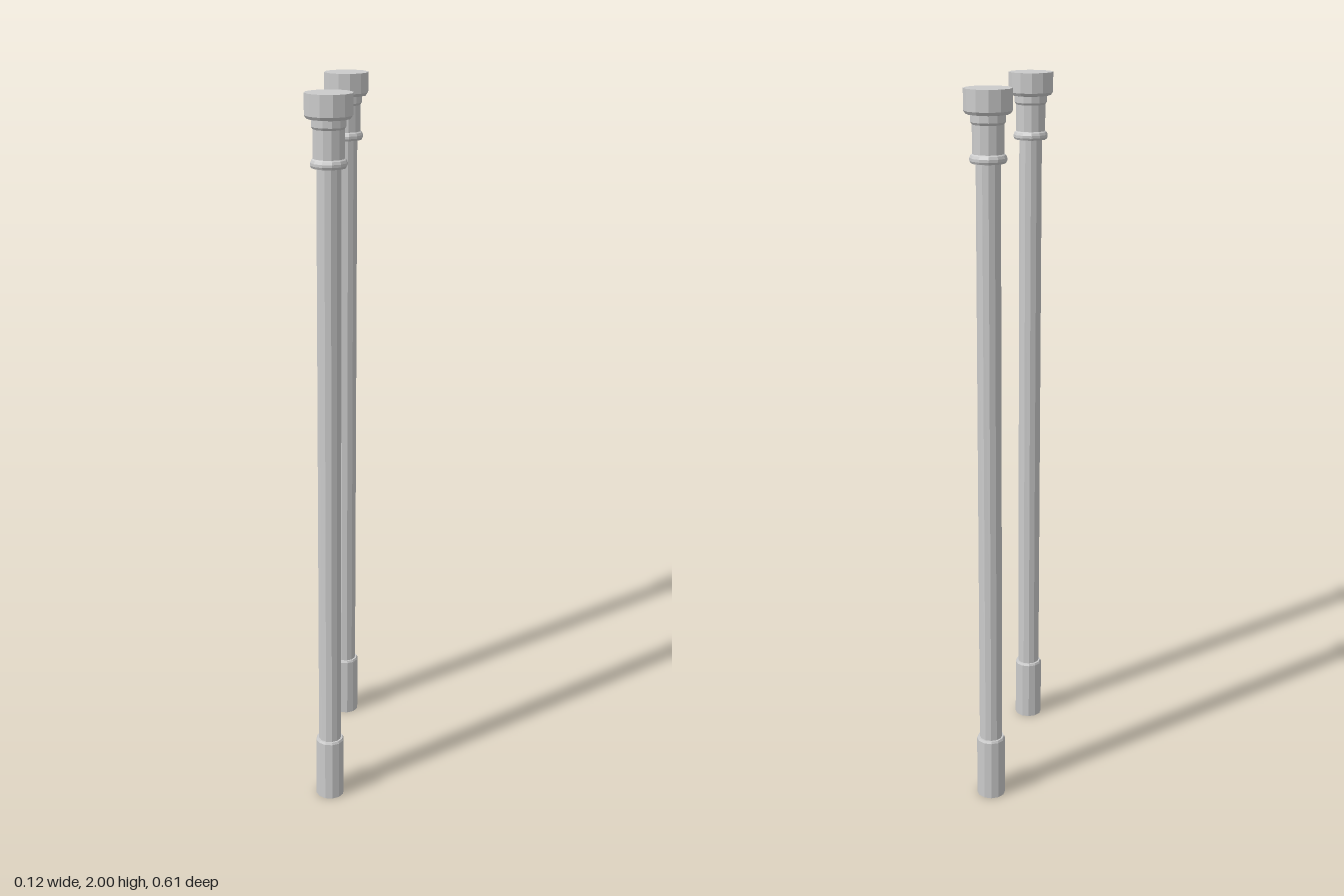
import * as THREE from 'three';

const SIDES = 12;

export function createModel() {
  const group = new THREE.Group();
  const material = new THREE.MeshStandardMaterial({ color: 0xcccccc, flatShading: true });

  // Twelve-sided turned part with flats facing the axes; profile runs bottom to top as [radius, y]
  const turned = (name, profile) => {
    const points = profile.map(([r, y]) => new THREE.Vector2(r, y));
    const mesh = new THREE.Mesh(
      new THREE.LatheGeometry(points, SIDES, Math.PI / SIDES), material);
    mesh.name = name;
    return mesh;
  };

  const makePost = (name, z) => {
    const post = new THREE.Group();
    post.name = name;
    post.add(
      // Foot sleeve with a small shoulder
      turned('foot', [[0, 0], [0.04, 0], [0.04, 0.177], [0.037, 0.183], [0.032, 0.183]]),
      // Long plain shaft
      turned('shaft', [[0.032, 0.17], [0.032, 1.83]]),
      // Rounded ring under the neck
      turned('collar', [[0.032, 1.815], [0.045, 1.815], [0.048, 1.821],
        [0.048, 1.828], [0.045, 1.835], [0.041, 1.838]]),
      // Neck with a slightly wider band at its top
      turned('neck', [[0.041, 1.83], [0.041, 1.911], [0.045, 1.917], [0.045, 1.945]]),
      // Cap with a chamfered lower edge
      turned('cap', [[0.044, 1.935], [0.057, 1.937], [0.0625, 1.945], [0.0625, 2], [0, 2]])
    );
    post.position.z = z;
    return post;
  };

  group.add(makePost('frontPost', 0.245), makePost('backPost', -0.245));
  return group;
}
